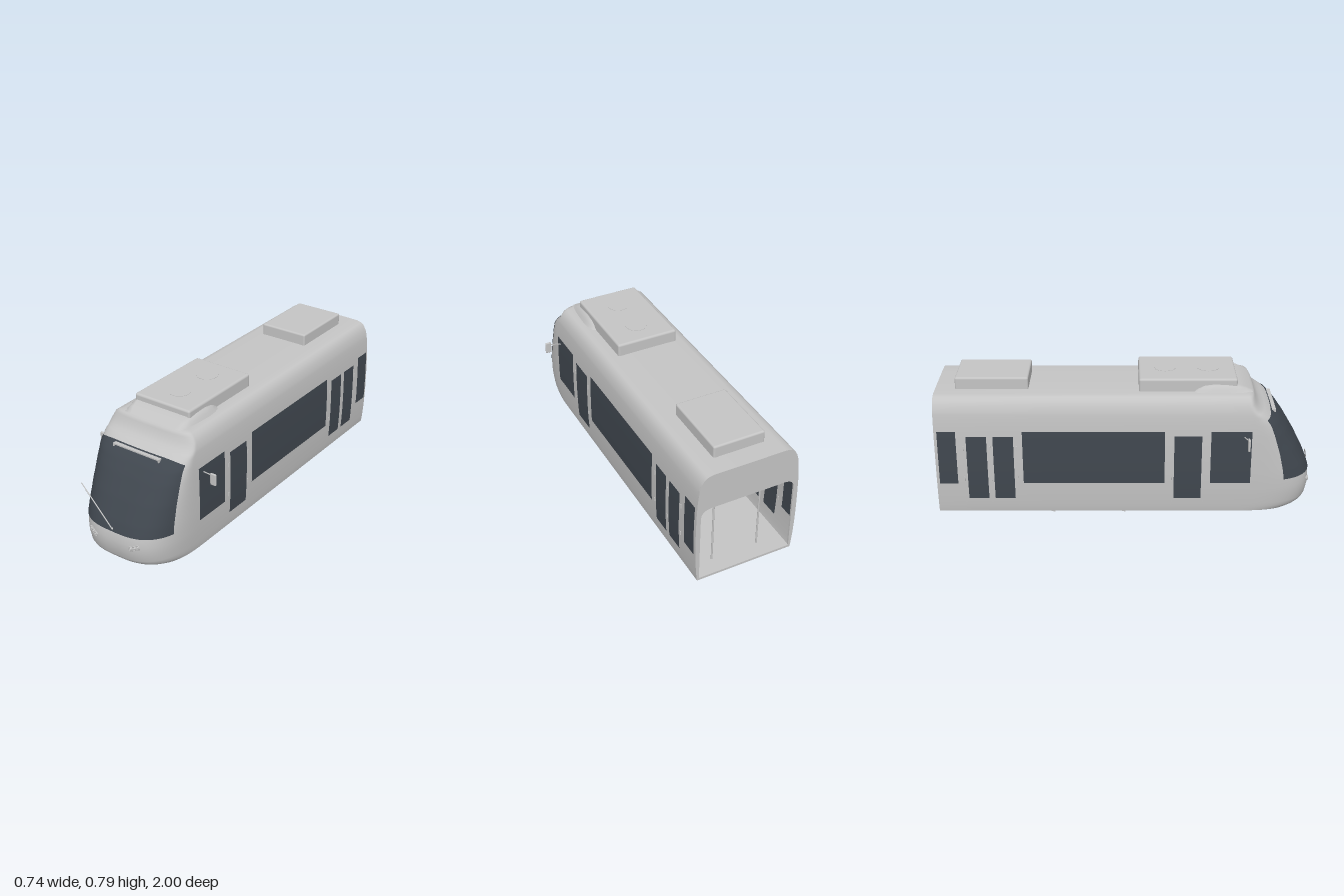
import * as THREE from 'three';
import { mergeGeometries } from 'three/addons/utils/BufferGeometryUtils.js';
import { RoundedBoxGeometry } from 'three/addons/geometries/RoundedBoxGeometry.js';

// Body profile, bottom to top: height, half width, nose z, depth of the rounded nose
const PROFILE = [
  [0.063, 0.268, 0.93, 0.34], [0.075, 0.27, 0.958, 0.36], [0.09, 0.272, 0.978, 0.37], [0.11, 0.274, 0.99, 0.38],
  [0.16, 0.278, 1.0, 0.38], [0.2, 0.28, 1.0, 0.38], [0.25, 0.282, 0.993, 0.375], [0.3, 0.283, 0.973, 0.35],
  [0.4, 0.283, 0.922, 0.28], [0.5, 0.281, 0.862, 0.2], [0.56, 0.278, 0.818, 0.14], [0.605, 0.274, 0.772, 0.1],
  [0.625, 0.271, 0.738, 0.08], [0.64, 0.269, 0.712, 0.06], [0.67, 0.26, 0.69, 0.05], [0.695, 0.246, 0.682, 0.045],
  [0.709, 0.228, 0.674, 0.04], [0.716, 0.2, 0.66, 0.035],
];
const N = 3; // squareness of the nose in plan
const V = (x, y, z) => new THREE.Vector3(x, y, z);

function profileAt(y) {
  let i = 0;
  while (i < PROFILE.length - 2 && PROFILE[i + 1][0] < y) i++;
  const a = PROFILE[i], b = PROFILE[i + 1], t = (y - a[0]) / (b[0] - a[0]);
  return a.map((v, k) => v + (b[k] - v) * t);
}
function sideX(y, z) {
  const [, w, f, d] = profileAt(y);
  const t = Math.max(0, (z - f + d) / d);
  return w * Math.pow(Math.max(0, 1 - t ** N), 1 / N);
}
function noseZ(x, y) {
  const [, w, f, d] = profileAt(y);
  return f - d + d * Math.pow(Math.max(0, 1 - (Math.abs(x) / w) ** N), 1 / N);
}

// Surface through rows of points
function grid(rows) {
  const n = rows[0].length, idx = [];
  for (let j = 0; j < rows.length - 1; j++) {
    for (let i = 0; i < n - 1; i++) {
      const a = j * n + i, b = a + 1, c = a + n, d = c + 1;
      idx.push(a, c, b, b, c, d);
    }
  }
  const g = new THREE.BufferGeometry().setFromPoints(rows.flat());
  g.setIndex(idx);
  g.computeVertexNormals();
  return g;
}

// Plan outline of one body layer, from the rear left round the nose to the rear right
function outline([y, w, f, d]) {
  const zs = f - d, half = [-1, -0.5, 0, 0.4].map((z) => V(w, y, z));
  const pts = [...half], M = 56;
  for (let i = 0; i <= M; i++) {
    const t = (i / M) * Math.PI, c = Math.cos(t);
    pts.push(V(w * Math.sign(c) * Math.abs(c) ** (2 / N), y, zs + d * Math.abs(Math.sin(t)) ** (2 / N)));
  }
  half.reverse().forEach((p) => pts.push(V(-p.x, p.y, p.z)));
  return pts;
}

// Thin sheet following the side wall, one skin outside and one inside
function sidePanel(side, z0, z1, y0, y1) {
  return mergeGeometries([0.003, -0.003].map((off) => {
    const rows = [];
    for (let j = 0; j <= 10; j++) {
      const y = y0 + ((y1 - y0) * j) / 10, row = [];
      for (let i = 0; i <= 6; i++) {
        const z = z0 + ((z1 - z0) * i) / 6;
        row.push(V(side * (sideX(y, z) + off), y, z));
      }
      rows.push(side > 0 ? row : row.reverse());
    }
    return grid(rows);
  }));
}

export function createModel() {
  const model = new THREE.Group();
  const paint = new THREE.MeshStandardMaterial({ color: 0xc4c4c4, side: THREE.DoubleSide });
  paint.name = 'light grey paint';
  const glass = new THREE.MeshStandardMaterial({ color: 0x40474f, side: THREE.DoubleSide });
  glass.name = 'dark glass';

  const add = (name, geo, mat = paint, x = 0, y = 0, z = 0) => {
    const m = new THREE.Mesh(geo, mat);
    m.name = name;
    m.position.set(x, y, z);
    model.add(m);
    return m;
  };
  const box = (name, x0, x1, y0, y1, z0, z1, r = 0) => {
    const s = [x1 - x0, y1 - y0, z1 - z0];
    const geo = r ? new RoundedBoxGeometry(...s, 3, r) : new THREE.BoxGeometry(...s);
    return add(name, geo, paint, (x0 + x1) / 2, (y0 + y1) / 2, (z0 + z1) / 2);
  };
  const rod = (name, a, b, r) => {
    const d = b.clone().sub(a), mid = a.clone().add(b).multiplyScalar(0.5);
    const m = add(name, new THREE.CylinderGeometry(r, r, d.length(), 10), paint, mid.x, mid.y, mid.z);
    m.quaternion.setFromUnitVectors(V(0, 1, 0), d.normalize());
    return m;
  };

  // Body shell, roof and floor
  const top = PROFILE[PROFILE.length - 1], bottom = PROFILE[0];
  add('bodyShell', grid([...PROFILE, [0.718, 0.1, 0.655, 0.03], [0.718, 0, 0.655, 0.03]].map(outline)));
  add('floor', grid([[bottom[0], 0, bottom[2], bottom[3]], bottom].map(outline)));

  // Rear end frame with its open gangway
  const rear = new THREE.Shape();
  PROFILE.forEach(([y, w], i) => (i ? rear.lineTo(w, y) : rear.moveTo(w, y)));
  [...PROFILE].reverse().forEach(([y, w]) => rear.lineTo(-w, y));
  const gap = new THREE.Path();
  gap.moveTo(-0.258, 0.076);
  gap.lineTo(-0.258, 0.46);
  gap.quadraticCurveTo(-0.258, 0.515, -0.2, 0.515);
  gap.lineTo(0.2, 0.515);
  gap.quadraticCurveTo(0.258, 0.515, 0.258, 0.46);
  gap.lineTo(0.258, 0.076);
  rear.holes.push(gap);
  add('rearFrame', new THREE.ExtrudeGeometry(rear, { depth: 0.01, bevelEnabled: false }), paint, 0, 0, -1);

  // Windscreen
  add('windscreen', mergeGeometries([0.005, -0.005].map((off) => {
    const rows = [];
    for (let j = 0; j <= 28; j++) {
      const row = [];
      for (let i = 0; i <= 48; i++) {
        const s = 1 - i / 24, x = 0.262 * s;
        const y = 0.247 + ((0.609 - 0.02 * Math.abs(s) ** 6 - 0.247) * j) / 28;
        row.push(V(x, y, noseZ(x, y) + off));
      }
      rows.push(row);
    }
    return grid(rows);
  })), glass);

  // Wiper and the rail above the windscreen
  rod('wiper', V(0, 0.26, 0.996), V(-0.235, 0.415, 0.945), 0.003);
  add('wiperPivot', new THREE.SphereGeometry(0.006, 10, 8), paint, 0, 0.26, 0.993);
  box('screenRail', -0.145, 0.145, 0.597, 0.604, 0.775, 0.796);
  for (const s of [-1, 1]) box('railEnd', s * 0.142 - 0.003, s * 0.142 + 0.003, 0.587, 0.604, 0.775, 0.796);

  const windows = [[0.447, 0.66], [-0.54, 0.206], [-0.984, -0.887]];
  const doorPanes = [[0.255, 0.4], [-0.694, -0.587], [-0.834, -0.727]];
  for (const s of [-1, 1]) {
    // Side glazing and doors
    windows.forEach(([a, b]) => add('sideWindow', sidePanel(s, a, b, 0.237, 0.535), glass));
    doorPanes.forEach(([a, b]) => add('doorGlass', sidePanel(s, a, b, 0.146, 0.508), glass));
    for (const z of [0.413, 0.245, -0.571, -0.71, -0.85]) {
      add('doorSeal', sidePanel(s, z - 0.003, z + 0.003, 0.105, 0.535));
      for (const y of [0.265, 0.44]) box('doorCatch', s * 0.283 - 0.004, s * 0.283 + 0.004, y - 0.012, y + 0.012, z - 0.003, z + 0.003);
    }
    for (const [a, b] of [[0.245, 0.413], [-0.85, -0.571]]) add('doorSill', sidePanel(s, a, b, 0.101, 0.107));

    // Mirrors
    rod('mirrorArm', V(s * 0.275, 0.502, 0.62), V(s * 0.342, 0.511, 0.636), 0.003);
    const mirror = box('mirror', -0.017, 0.017, 0.459, 0.524, -0.006, 0.006, 0.005);
    mirror.position.x = s * 0.354;
    mirror.position.z = 0.638;

    // Headlights
    for (const [x, y] of [[0.112, 0.185], [0.131, 0.192], [0.149, 0.2]]) {
      const z = noseZ(x, y);
      add('headlightRing', new THREE.TorusGeometry(0.011, 0.003, 8, 20), paint, s * x, y, z + 0.002);
      add('headlightLens', new THREE.SphereGeometry(0.008, 12, 8), paint, s * x, y, z);
    }

    // Half wheels below the floor, with inner flanges and axle boxes
    const half = (name, x, z, r, w) => {
      const g = new THREE.CylinderGeometry(r, r, w, 28, 1, false, 0, Math.PI);
      g.rotateZ(Math.PI / 2);
      g.rotateX(Math.PI / 2);
      g.computeBoundingBox();
      if (g.boundingBox.max.y > r / 2) g.rotateX(Math.PI);
      add(name, g, paint, s * x, 0.064, z);
    };
    for (const z of [0, -0.385]) {
      half('wheel', 0.166, z, 0.057, 0.02);
      half('wheelFlange', 0.157, z, 0.064, 0.006);
      box('axleBox', s * 0.182 - 0.012, s * 0.182 + 0.012, 0.05, 0.066, z - 0.03, z + 0.03);
    }
    for (const z of [-0.097, -0.29]) half('brakeDisc', 0.102, z, 0.035, 0.01);

    // Handrails inside
    for (const z of [0.2, -0.4, -0.9]) rod('handrail', V(s * 0.13, 0.064, z), V(s * 0.13, 0.715, z), 0.005);
  }

  // Motors and axles
  for (const z of [-0.097, -0.29]) {
    rod('motor', V(-0.065, 0.056, z), V(0.065, 0.056, z), 0.017);
    rod('brakeShaft', V(-0.1, 0.058, z), V(0.1, 0.058, z), 0.004);
  }
  box('driverDesk', -0.2, 0.2, 0.064, 0.24, 0.72, 0.8);

  // Roof equipment with fans
  box('frontRoofUnit', -0.172, 0.172, 0.7, 0.785, 0.07, 0.585, 0.012);
  box('rearRoofUnit', -0.14, 0.14, 0.7, 0.781, -0.895, -0.51, 0.01);
  for (const z of [0.21, 0.44]) add('roofFan', new THREE.CylinderGeometry(0.058, 0.058, 0.004, 32), paint, 0, 0.785, z);

  // Fairing around the front roof unit: z, half width, height
  const fairing = [[0.355, 0.178, 0], [0.375, 0.192, 0.02], [0.41, 0.2, 0.038], [0.46, 0.203, 0.045], [0.53, 0.2, 0.044],
    [0.59, 0.195, 0.036], [0.63, 0.188, 0.022], [0.665, 0.175, 0]];
  add('roofFairing', grid(fairing.map(([z, w, h]) =>
    [[-w, 0], [-w + 0.01, 0.4], [-w + 0.022, 0.8], [-w + 0.04, 1], [w - 0.04, 1], [w - 0.022, 0.8], [w - 0.01, 0.4], [w, 0]]
      .map(([x, k]) => V(x, top[0] - 0.001 + h * k, z)).reverse())));
  return model;
}
